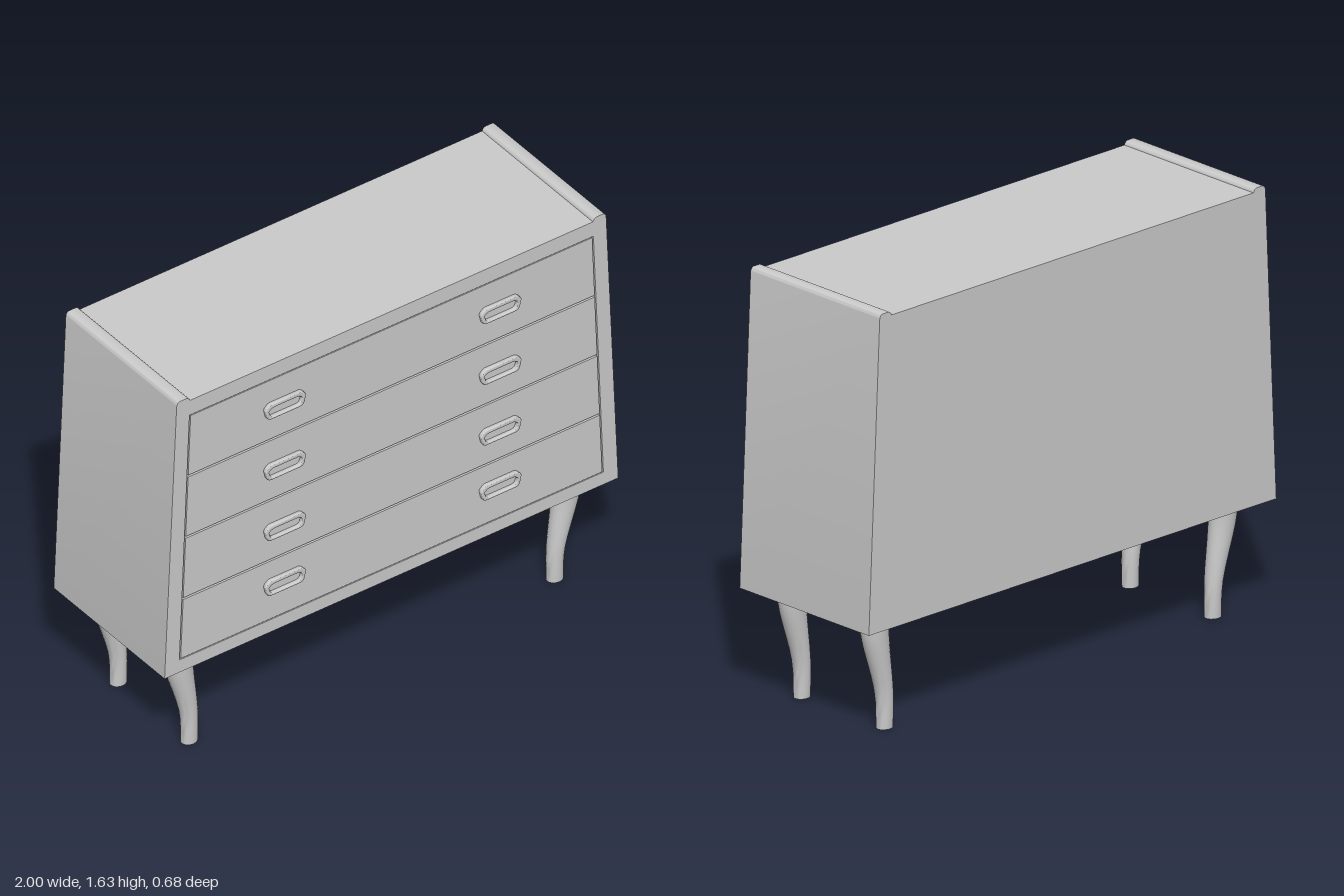
import * as THREE from 'three';
import { toCreasedNormals } from 'three/addons/utils/BufferGeometryUtils.js';

const BACK = -0.34, FRONT = 0.325, GROOVE = 0.008;
const BASE = 0.43, TOP = 1.62;

// Half-width of the drawer opening, which narrows towards the top
const innerHalf = (y) => 0.937 - (y - BASE) * 0.0412;

export function createModel() {
  const material = new THREE.MeshStandardMaterial({ color: 0xcccccc });
  const model = new THREE.Group();
  model.name = 'chestOfDrawers';

  const add = (name, geometry) => {
    const mesh = new THREE.Mesh(geometry, material);
    mesh.name = name;
    model.add(mesh);
    return mesh;
  };

  const extrude = (shape, z0, z1, bevel = 0) => {
    const geometry = new THREE.ExtrudeGeometry(shape, {
      depth: z1 - z0 - bevel, curveSegments: 8,
      bevelEnabled: bevel > 0, bevelThickness: bevel, bevelSize: bevel, bevelOffset: -bevel, bevelSegments: 3,
    });
    geometry.translate(0, 0, z0);
    return toCreasedNormals(geometry, 0.6);
  };

  // Board across the cabinet following the tapered sides
  const taperedBoard = (name, y0, y1, z0, z1, gap = 0) => {
    const a = innerHalf(y0) - gap, b = innerHalf(y1) - gap;
    const shape = new THREE.Shape([[-a, y0], [a, y0], [b, y1], [-b, y1]].map((p) => new THREE.Vector2(...p)));
    return add(name, extrude(shape, z0, z1));
  };

  // Carcass, set back behind the drawer fronts, with flush rails
  taperedBoard('carcass', BASE, TOP, BACK, FRONT - 0.012);
  taperedBoard('bottomRail', BASE, 0.485, FRONT - 0.012, FRONT);
  taperedBoard('topRail', 1.555, TOP, FRONT - 0.012, FRONT);

  // Slanted side panels with rounded top edges
  for (const s of [-1, 1]) {
    const p = new THREE.Shape();
    p.moveTo(s * innerHalf(BASE), BASE);
    p.lineTo(s * 1.0, BASE);
    p.lineTo(s * 0.947, 1.615);
    p.quadraticCurveTo(s * 0.945, 1.635, s * 0.93, 1.635);
    p.lineTo(s * 0.907, 1.635);
    p.quadraticCurveTo(s * 0.89, 1.635, s * 0.888, 1.615);
    add(s > 0 ? 'leftSide' : 'rightSide', extrude(p, BACK, FRONT));
  }

  // Drawer fronts separated by narrow grooves
  const edges = [0.485, 0.75, 1.018, 1.286, 1.555];
  for (let i = 0; i < 4; i++) {
    taperedBoard(`drawer${i + 1}`, edges[i] + GROOVE / 2, edges[i + 1] - GROOVE / 2,
      FRONT - 0.012, FRONT, GROOVE * 0.7);
  }

  // Rounded pull outline: chamfered upper corners, soft lower corners
  const pullOutline = (path, w, y0, y1) => {
    const h = y1 - y0;
    path.moveTo(-w * 0.7, y0);
    path.lineTo(w * 0.7, y0);
    path.quadraticCurveTo(w * 0.92, y0, w * 0.95, y0 + h * 0.35);
    path.lineTo(w, y0 + h * 0.62);
    path.quadraticCurveTo(w, y0 + h * 0.75, w * 0.92, y0 + h * 0.83);
    path.quadraticCurveTo(w * 0.8, y1, w * 0.7, y1);
    path.lineTo(-w * 0.7, y1);
    path.quadraticCurveTo(-w * 0.8, y1, -w * 0.92, y0 + h * 0.83);
    path.quadraticCurveTo(-w, y0 + h * 0.75, -w, y0 + h * 0.62);
    path.lineTo(-w * 0.95, y0 + h * 0.35);
    path.quadraticCurveTo(-w * 0.92, y0, -w * 0.7, y0);
    return path;
  };
  const pullShape = pullOutline(new THREE.Shape(), 0.089, -0.033, 0.034);
  pullShape.holes.push(pullOutline(new THREE.Path(), 0.073, -0.022, 0.016));
  const pullGeometry = extrude(pullShape, 0, 0.015, 0.004);
  for (const y of [0.635, 0.88, 1.15, 1.42]) {
    for (const x of [-0.475, 0.475]) add('drawerPull', pullGeometry).position.set(x, y, FRONT);
  }

  // Bent legs: centre x and radius along the height, narrower in depth
  const centre = new THREE.SplineCurve([[0, 0.806], [0.14, 0.81], [0.34, 0.85], [0.43, 0.854]]
    .map((p) => new THREE.Vector2(...p)));
  const radius = new THREE.SplineCurve([[0, 0.033], [0.14, 0.035], [0.34, 0.055], [0.43, 0.062]]
    .map((p) => new THREE.Vector2(...p)));
  const legGeometry = (s) => {
    const rows = 12;
    const geometry = new THREE.CylinderGeometry(1, 1, 1, 20, rows);
    const pos = geometry.attributes.position;
    for (let i = 0; i < pos.count; i++) {
      const t = pos.getY(i) + 0.5;
      const c = centre.getPoint(t), r = radius.getPoint(t).y;
      const rz = 0.028 + 0.02 * (c.x / BASE);
      pos.setXYZ(i, s * c.y + pos.getX(i) * r, c.x, pos.getZ(i) * rz);
    }
    return toCreasedNormals(geometry, 0.7);
  };
  for (const s of [-1, 1]) {
    const geometry = legGeometry(s);
    add(s > 0 ? 'frontLeftLeg' : 'frontRightLeg', geometry).position.z = 0.208;
    add(s > 0 ? 'backLeftLeg' : 'backRightLeg', geometry).position.z = -0.217;
  }

  return model;
}
